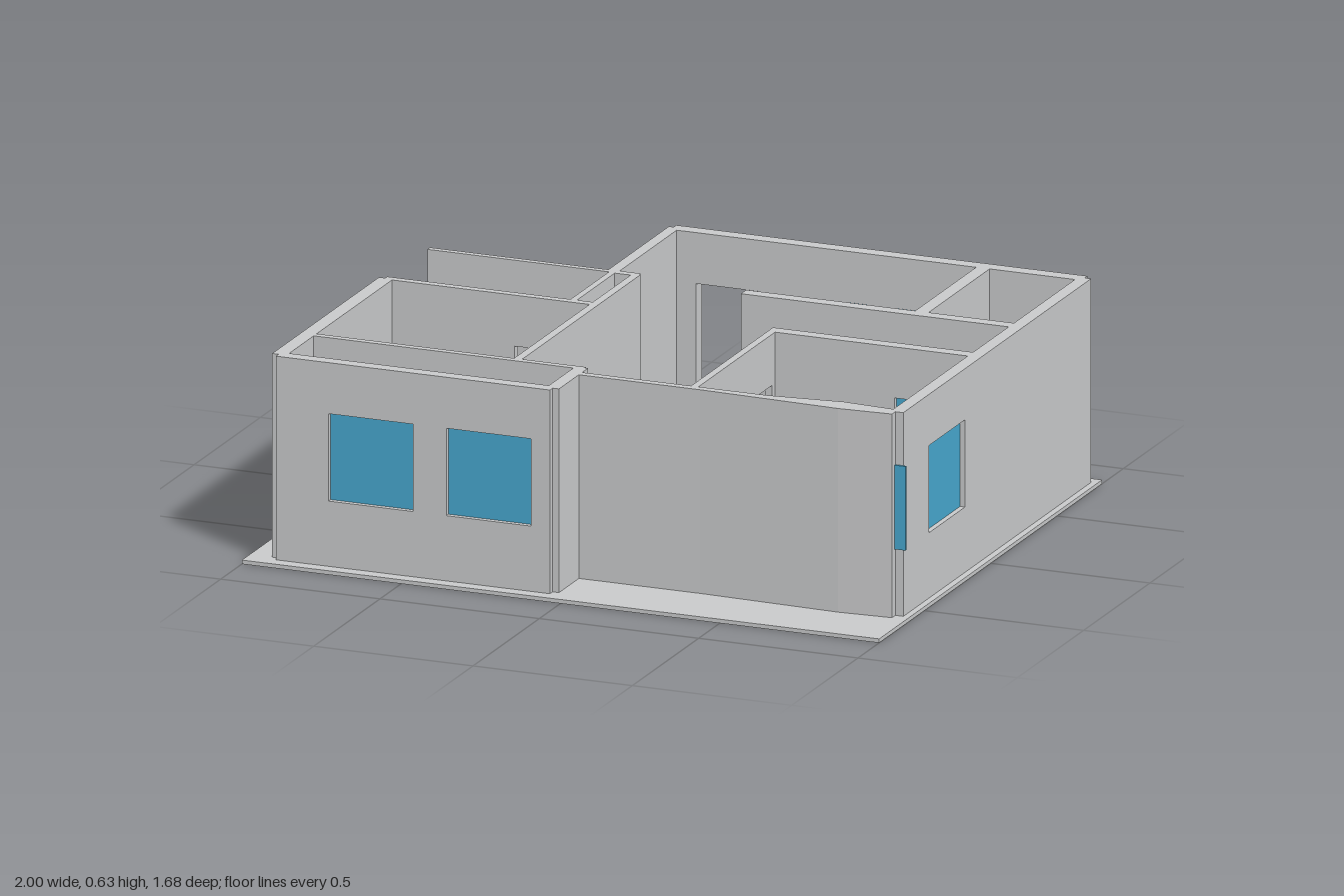
import * as THREE from 'three';

const FLOOR = 0.012, TOP = 0.63;      // slab top and wall top
const SILL = 0.21, HEAD = 0.475;      // window sill and opening head

export function createModel() {
  const model = new THREE.Group();
  model.name = 'house';
  const mat = (name, color) => {
    const m = new THREE.MeshStandardMaterial({ color });
    m.name = name;
    return m;
  };
  const plaster = mat('grey plaster', 0xc8c9ca);
  const glass = mat('blue glass', 0x46a6cc);
  const sand = mat('sand floor', 0xc9c0a2);

  // Box given by its limits
  const box = (name, material, x0, x1, y0, y1, z0, z1, parent = model) => {
    const mesh = new THREE.Mesh(new THREE.BoxGeometry(x1 - x0, y1 - y0, z1 - z0), material);
    mesh.position.set((x0 + x1) / 2, (y0 + y1) / 2, (z0 + z1) / 2);
    mesh.name = name;
    parent.add(mesh);
    return mesh;
  };

  // Straight wall along x or z, from a to b, between the faces c0 and c1.
  // Openings are [start, end, kind], sorted, kind being 'window' or 'door'.
  const wall = (name, axis, a, b, c0, c1, openings = []) => {
    const group = new THREE.Group();
    group.name = name;
    model.add(group);
    const piece = (label, material, s, e, y0, y1, d0 = c0, d1 = c1) => axis === 'x'
      ? box(label, material, s, e, y0, y1, d0, d1, group)
      : box(label, material, d0, d1, y0, y1, s, e, group);
    let at = a;
    for (const [s, e, kind] of openings) {
      piece('pier', plaster, at, s, FLOOR, TOP);
      piece('lintel', plaster, s, e, HEAD, TOP);
      if (kind === 'window') {
        const mid = (c0 + c1) / 2;
        piece('sill', plaster, s, e, FLOOR, SILL);
        piece('windowPane', glass, s, e, SILL, HEAD, mid - 0.004, mid + 0.004);
      }
      at = e;
    }
    piece('pier', plaster, at, b, FLOOR, TOP);
  };

  // Ground slab and hall floor
  box('slab', plaster, -1, 1, 0, FLOOR, -0.84, 0.84);
  const f0 = FLOOR - 0.002, f1 = FLOOR + 0.002;
  box('backRoomFloor', sand, -0.25, 0.63, f0, f1, -0.78, -0.32);
  box('middleHallFloor', sand, -0.25, 0.32, f0, f1, -0.32, -0.03);
  box('frontHallFloor', sand, -0.25, 0.32, f0, f1, -0.03, 0.62);

  // Outer walls
  wall('backWall', 'x', -0.33, 0.96, -0.825, -0.78,
    [[-0.25, -0.045, 'door'], [0.205, 0.475, 'window']]);
  wall('eastWall', 'z', -0.805, 0.61, 0.94, 0.98, [[0.145, 0.415, 'window']]);
  wall('westWall', 'z', -0.025, 0.78, -0.93, -0.885, [[0.145, 0.415, 'window']]);
  wall('porchFrontWall', 'x', -0.91, -0.05, 0.76, 0.8,
    [[-0.745, -0.48, 'window'], [-0.375, -0.11, 'window']]);
  wall('porchSideWall', 'z', 0.56, 0.78, -0.07, -0.03);
  wall('backWestWall', 'z', -0.805, -0.33, -0.345, -0.31);
  wall('freeStandingWall', 'x', -0.905, -0.345, -0.35, -0.33);
  wall('westRoomBackWall', 'x', -0.91, -0.24, -0.04, -0.015, [[-0.5, -0.32, 'door']]);

  // Slightly bent front wall
  const plan = [[-0.05, 0.63], [0.35, 0.63], [0.79, 0.645], [0.955, 0.635],
    [0.955, 0.59], [0.78, 0.578], [0.55, 0.605], [-0.05, 0.605]];
  const shape = new THREE.Shape(plan.map(([x, z]) => new THREE.Vector2(x, -z)));
  const bent = new THREE.ExtrudeGeometry(shape, { depth: TOP - FLOOR, bevelEnabled: false });
  bent.rotateX(-Math.PI / 2);
  const frontWall = new THREE.Mesh(bent, plaster);
  frontWall.position.y = FLOOR;
  frontWall.name = 'frontWall';
  model.add(frontWall);
  box('cornerPane', glass, 0.955, 0.99, SILL + 0.005, HEAD - 0.005, 0.612, 0.618);

  // Inner walls
  wall('westRoomFrontWall', 'x', -0.89, -0.04, 0.553, 0.575);
  wall('hallWestWall', 'z', -0.34, 0.56, -0.265, -0.24);
  wall('shaftWestWall', 'z', -0.35, -0.03, -0.335, -0.315);
  wall('shaftBackWall', 'x', -0.335, -0.245, -0.35, -0.325);
  wall('hallEastWall', 'z', 0, 0.61, 0.312, 0.335, [[0.05, 0.235, 'door']]);
  wall('eastRoomBackWall', 'x', 0.312, 0.95, -0.012, 0.028, [[0.71, 0.9, 'window']]);
  wall('middleWall', 'x', 0.1, 0.95, -0.32, -0.28);
  wall('storeWall', 'z', -0.79, -0.3, 0.63, 0.672);

  return model;
}
